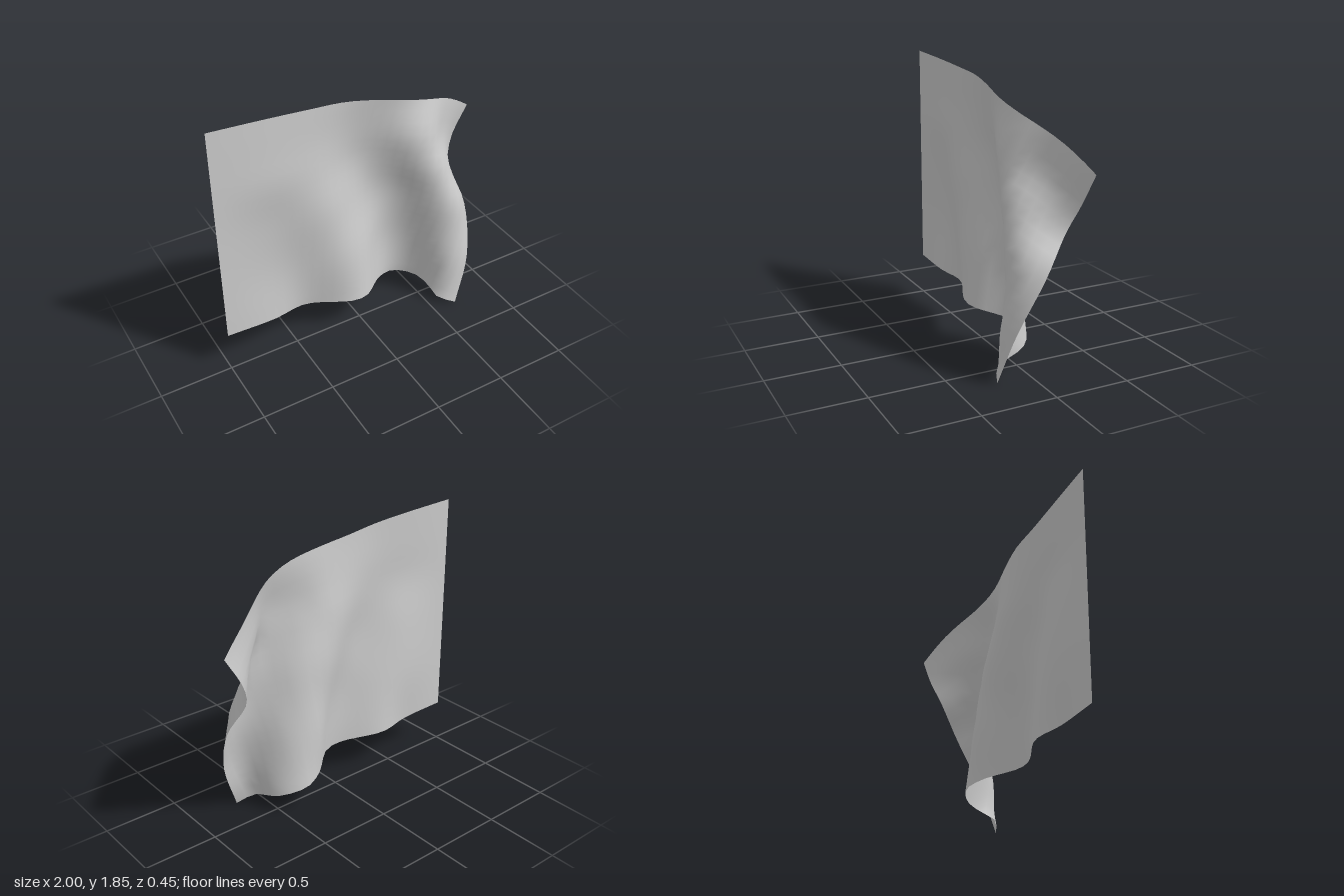
import * as THREE from 'three';

const COLS = 28, ROWS = 20;

// One horizontal section of cloth: a wavy line in plan (x, z pairs) starting at the straight edge,
// hung at a height and sagging more and more towards the free edge
function section(height, sag, ...plan) {
  const points = [new THREE.Vector3(-1, 0, 0)];
  for (let k = 0; k < plan.length; k += 2) points.push(new THREE.Vector3(plan[k], 0, plan[k + 1]));
  const curve = new THREE.CatmullRomCurve3(points);
  return (u) => curve.getPointAt(u).setY(height - sag * (0.2 * u + 0.8 * u ** 3.5));
}

// Top hem to bottom hem: the folds drift towards the free edge and deepen
const sections = [
  section(1.85, 0.52, -0.35, 0.005, -0.1, -0.005, 0.1, 0.015, 0.3, 0.04, 0.43, 0.03, 0.55, -0.005, 0.8, -0.14, 1, -0.225),
  section(1.59, 0.48, -0.4, 0.015, -0.02, -0.03, 0.15, -0.01, 0.32, 0.065, 0.44, 0.095, 0.54, 0.065, 0.65, -0.03, 0.87, -0.21),
  section(1.385, 0.435, -0.33, 0.025, 0.05, -0.06, 0.25, -0.01, 0.42, 0.09, 0.54, 0.125, 0.66, 0.06, 0.815, -0.15),
  section(1.07, 0.37, -0.6, -0.005, -0.23, 0.045, 0.15, -0.085, 0.33, -0.05, 0.5, 0.09, 0.62, 0.155, 0.75, 0.13, 0.86, 0.005),
  section(0.685, 0.335, -0.5, -0.02, -0.14, 0.065, 0, 0.035, 0.25, -0.11, 0.43, -0.06, 0.61, 0.16, 0.7, 0.2, 0.8, 0.165),
  section(0.295, 0.295, -0.65, 0, -0.41, -0.035, -0.1, 0.08, 0.02, 0.07, 0.22, -0.09, 0.36, -0.135, 0.5, -0.06,
    0.545, 0.04, 0.56, 0.17, 0.675, 0.23),
];

// Loft a smooth grid through the sections
function clothGeometry() {
  const positions = [], indices = [];
  for (let i = 0; i <= COLS; i++) {
    const column = new THREE.CatmullRomCurve3(sections.map((pointAt) => pointAt(i / COLS)));
    for (let j = 0; j <= ROWS; j++) positions.push(...column.getPointAt(j / ROWS).toArray());
  }
  for (let i = 0; i < COLS; i++) {
    for (let j = 0; j < ROWS; j++) {
      const a = i * (ROWS + 1) + j, b = a + ROWS + 1;
      indices.push(a, a + 1, b, b, a + 1, b + 1);
    }
  }
  const geometry = new THREE.BufferGeometry();
  geometry.setAttribute('position', new THREE.Float32BufferAttribute(positions, 3));
  geometry.setIndex(indices);
  geometry.computeVertexNormals();
  return geometry;
}

export function createModel() {
  const group = new THREE.Group();
  group.name = 'wavingFlag';
  const clothGrey = new THREE.MeshStandardMaterial({ color: 0xcccccc, side: THREE.DoubleSide });
  clothGrey.name = 'clothGrey';
  const cloth = new THREE.Mesh(clothGeometry(), clothGrey);
  cloth.name = 'flagCloth';
  group.add(cloth);
  return group;
}
